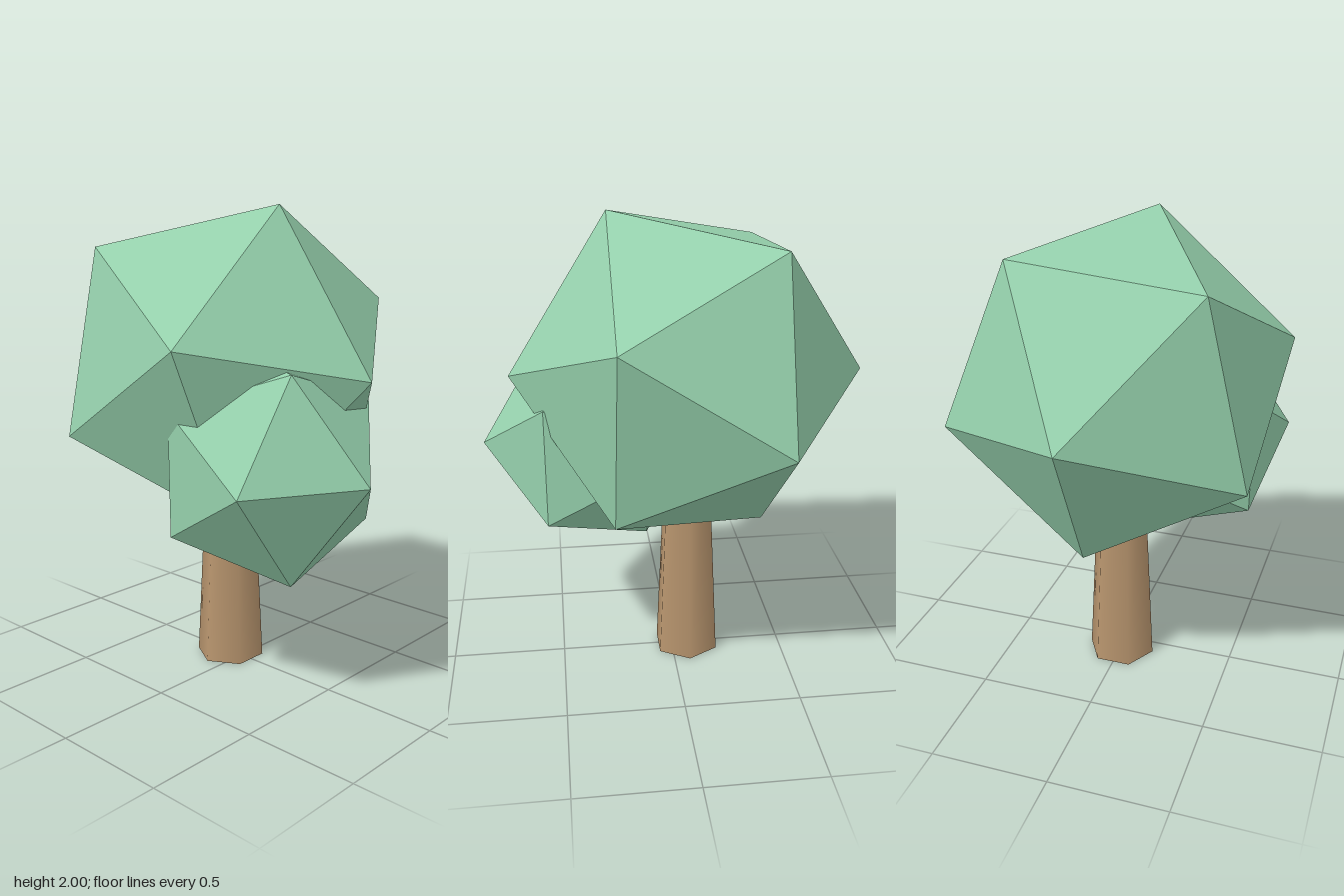
import * as THREE from 'three';

const leafGreen = new THREE.MeshStandardMaterial({ color: 0x95d0ac, flatShading: true });
leafGreen.name = 'leafGreen';
const barkBrown = new THREE.MeshStandardMaterial({ color: 0xb8956e });
barkBrown.name = 'barkBrown';

// Orthonormal frame: first axis along a, second towards b
function frame(a, b) {
  const u = a.clone().normalize();
  const w = u.clone().cross(b).normalize();
  return new THREE.Matrix4().makeBasis(u, w.clone().cross(u), w);
}

// Faceted leaf clump with one corner along `axis` and a neighbouring corner towards `side`
function leafClump(name, radius, centre, axis, side) {
  const phi = (1 + Math.sqrt(5)) / 2;
  const source = frame(new THREE.Vector3(1, phi, 0), new THREE.Vector3(-1, phi, 0));
  const turn = frame(axis, side).multiply(source.transpose());
  const geometry = new THREE.IcosahedronGeometry(radius, 0).applyMatrix4(turn);
  const mesh = new THREE.Mesh(geometry, leafGreen);
  mesh.name = name;
  mesh.position.copy(centre);
  return mesh;
}

export function createModel() {
  const tree = new THREE.Group();
  tree.name = 'tree';

  // Tapered six-sided trunk, its top hidden inside the crown
  const trunk = new THREE.Mesh(new THREE.CylinderGeometry(0.102, 0.15, 1, 6), barkBrown);
  trunk.name = 'trunk';
  trunk.position.set(-0.07, 0.5, 0);
  tree.add(trunk);

  // Large crown and the smaller clump at its lower left front
  tree.add(leafClump('mainCrown', 0.75, new THREE.Vector3(-0.07, 1.33, 0),
    new THREE.Vector3(0.75, 0.01, 0.005), new THREE.Vector3(0.335, 0.67, 0.06)));
  tree.add(leafClump('smallClump', 0.487, new THREE.Vector3(0.325, 0.98, 0.18),
    new THREE.Vector3(1, 0, 0), new THREE.Vector3(0.22, -0.005, 0.435)));

  return tree;
}
